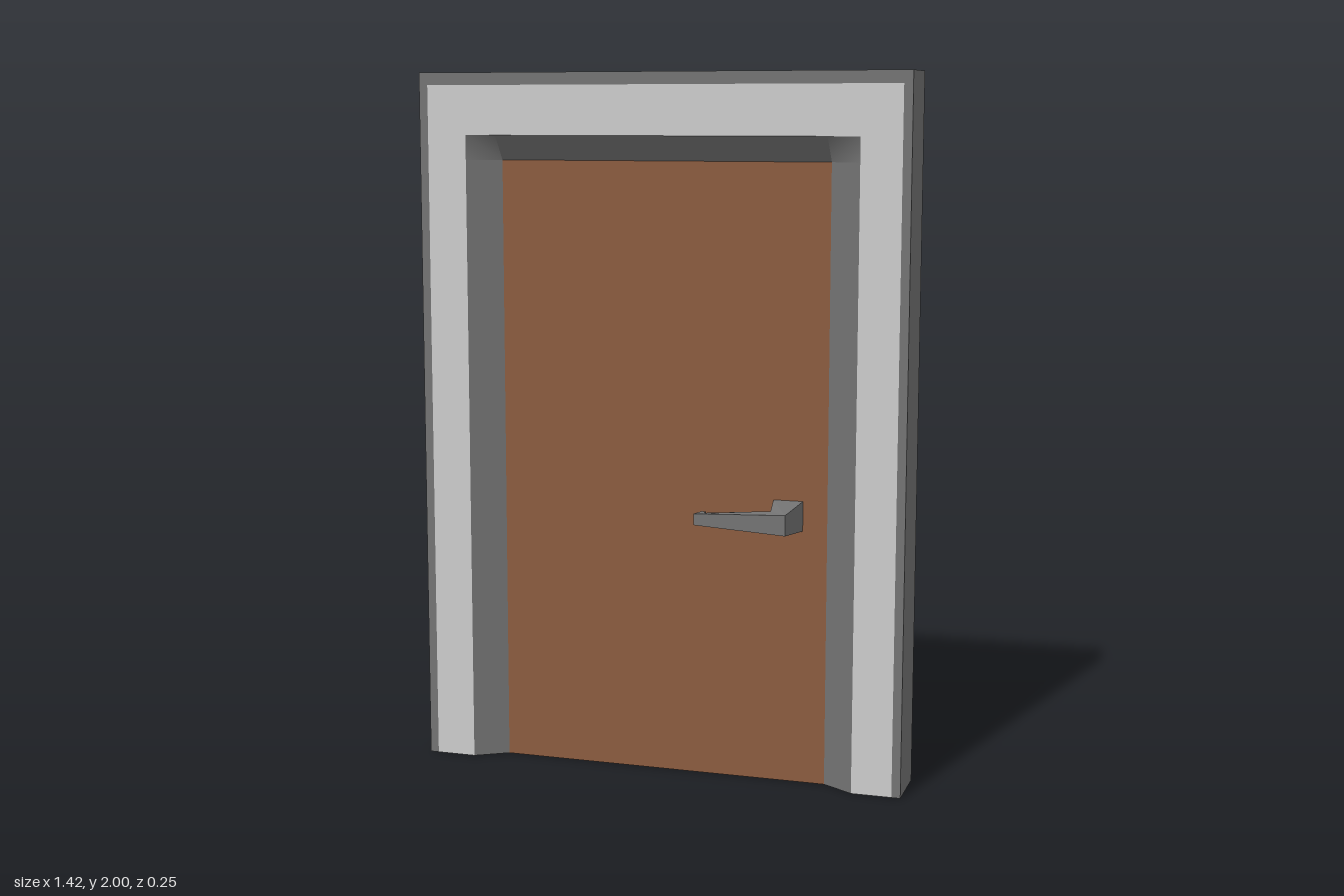
import * as THREE from 'three';
import { mergeGeometries } from 'three/addons/utils/BufferGeometryUtils.js';

const F = 0.0825, P = 0.0275;          // half depths of frame and door leaf
const W = 0.71, H = 2;                 // outer frame half width and height
const OW = 0.57, OH = 1.825;           // opening at the frame face
const DW = 0.48, DH = 1.755;           // visible door leaf
const TW = 0.685, TH = 1.965;          // outer edge of the light trim

const mat = (color, opts = {}) => new THREE.MeshStandardMaterial({ color, ...opts });

function mesh(name, geometry, material) {
  const m = new THREE.Mesh(geometry, material);
  m.name = name;
  return m;
}

// Four corners, counter-clockwise from outside, split along the first-to-third diagonal
function quad(...corners) {
  const g = new THREE.BufferGeometry();
  g.setAttribute('position', new THREE.Float32BufferAttribute(corners.flat(), 3));
  g.setIndex([0, 1, 2, 0, 2, 3]);
  g.computeVertexNormals();
  return g;
}

const polygon = (points) =>
  new THREE.ShapeGeometry(new THREE.Shape(points.map(([x, y]) => new THREE.Vector2(x, y))));

// Flat door-surround outline between two widths and heights
function surround(ow, oh, iw, ih, z) {
  return polygon([[-ow, 0], [-iw, 0], [-iw, ih], [iw, ih], [iw, 0], [ow, 0], [ow, oh], [-ow, oh]])
    .translate(0, 0, z);
}

// Sloping reveal from the frame face down to the leaf
function reveal() {
  return mergeGeometries([
    quad([DW, 0, P], [OW, 0, F], [OW, DH, F], [DW, DH, P]),
    quad([-OW, 0, F], [-DW, 0, P], [-DW, DH, P], [-OW, DH, F]),
    quad([-DW, DH, P], [DW, DH, P], [DW, OH, F], [-DW, OH, F]),
    quad([DW, DH, P], [OW, DH, F], [OW, OH, F], [DW, OH, F]),
    quad([-DW, DH, P], [-DW, OH, F], [-OW, OH, F], [-OW, DH, F]),
  ]);
}

// Lever handle lofted through rectangular sections
function handleGeometry() {
  // inner x, inner z, outer x, outer z, half height
  const sections = [
    [0.325, -0.02, 0.41, -0.02, 0.0425],
    [0.342, 0.078, 0.395, 0.125, 0.029],
    [0.155, 0.09, 0.13, 0.113, 0.016],
    [0.148, 0.05, 0.136, 0.05, 0.012],
  ].map(([ix, iz, ox, oz, h]) => [[ix, h, iz], [ox, h, oz], [ox, -h, oz], [ix, -h, iz]]);
  const faces = [];
  for (let i = 0; i < sections.length - 1; i++) {
    const a = sections[i], b = sections[i + 1];
    for (let k = 0; k < 4; k++) {
      const n = (k + 1) % 4;
      faces.push(quad(a[k], b[k], b[n], a[n]));
    }
  }
  faces.push(quad(...sections.at(-1).toReversed()));
  return mergeGeometries(faces).translate(0, 0.772, 0);
}

export function createModel() {
  const model = new THREE.Group();
  model.name = 'door';
  const dark = mat(0x737373), light = mat(0xcccccc), wood = mat(0x8b5c40);

  const doorway = new THREE.Group();
  doorway.name = 'doorway';
  doorway.position.z = -0.0475;
  model.add(doorway);

  // Matching front and back faces
  for (const side of ['front', 'back']) {
    const face = new THREE.Group();
    face.name = side + 'Face';
    face.rotation.y = side === 'back' ? Math.PI : 0;
    face.add(
      mesh('frameEdge', surround(W, H, TW, TH, F), dark),
      mesh('trim', surround(TW, TH, OW, OH, F), light),
      mesh('reveal', reveal(), dark),
      mesh('doorLeaf', new THREE.PlaneGeometry(2 * DW, DH).translate(0, DH / 2, P), wood),
    );
    doorway.add(face);
  }

  // Outer sides and top of the frame
  doorway.add(mesh('frameSides', mergeGeometries([
    quad([W, 0, F], [W, 0, -F], [W, H, -F], [W, H, F]),
    quad([-W, 0, -F], [-W, 0, F], [-W, H, F], [-W, H, -F]),
    quad([-W, H, F], [W, H, F], [W, H, -F], [-W, H, -F]),
  ]), dark));

  // Underside following the reveal profile
  const half = [[-W, F], [-OW, F], [-DW, P], [DW, P], [OW, F], [W, F]];
  const outline = [...half, ...half.map(([x, z]) => [-x, -z])];
  doorway.add(mesh('underside', polygon(outline).rotateX(Math.PI / 2), wood));

  model.add(mesh('handle', handleGeometry(), mat(0x737373, { flatShading: true })));
  return model;
}
